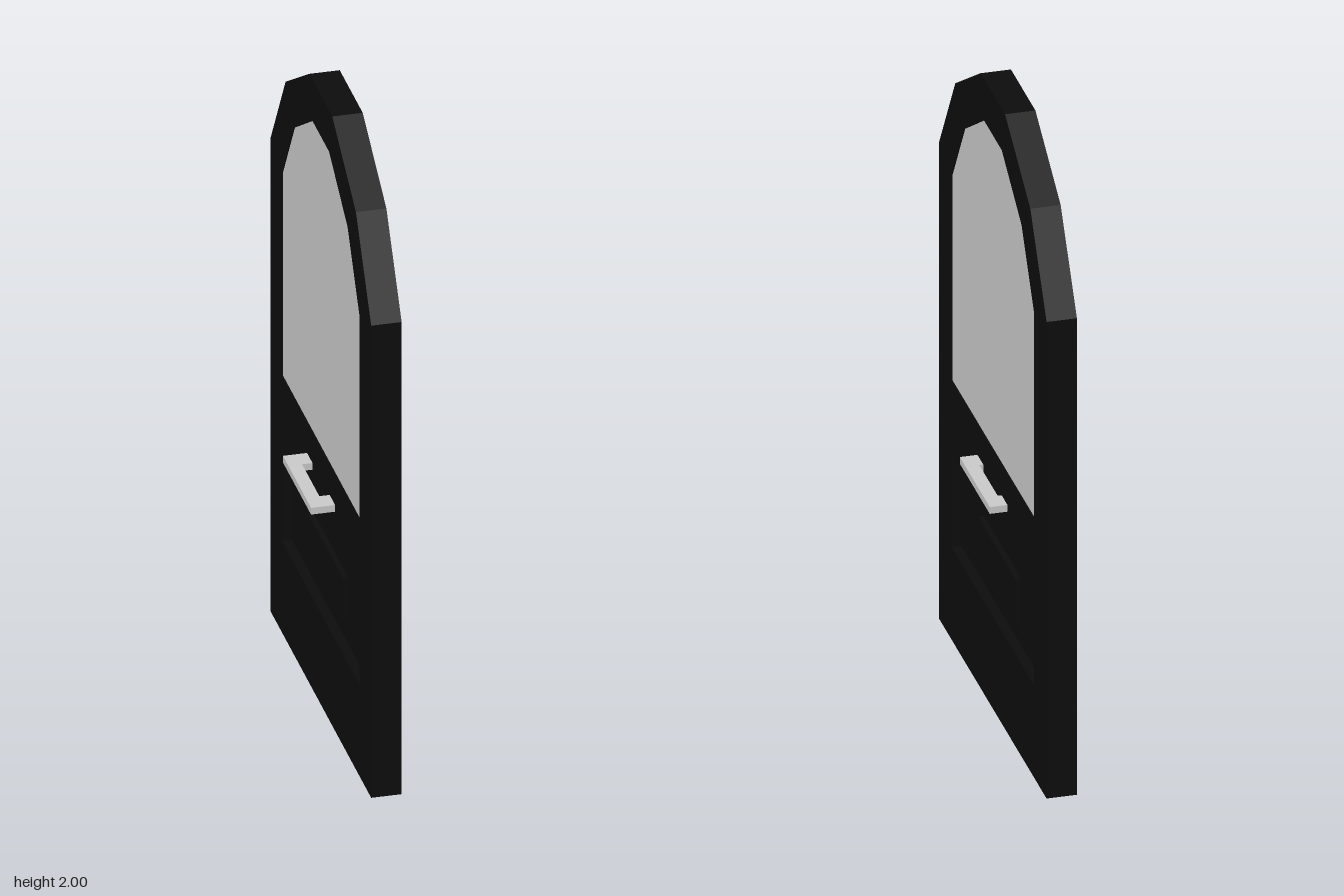
import * as THREE from 'three';

const FRONT = 0.055, BACK = -0.036;            // the two door faces along x
const THICK = FRONT - BACK, MID = (FRONT + BACK) / 2;

// Closed outline from its right half, mirrored left to right
function mirrored(Type, half) {
  const left = half.map(([u, y]) => [-u, y]).reverse();
  return new Type([...half, ...left].map(([u, y]) => new THREE.Vector2(u, y)));
}

export function createModel() {
  const group = new THREE.Group();
  const black = new THREE.MeshStandardMaterial({ color: 0x0d0d0d, flatShading: true });
  const grey = new THREE.MeshStandardMaterial({ color: 0xcccccc, flatShading: true });

  const add = (name, geometry, material) => {
    const mesh = new THREE.Mesh(geometry, material);
    mesh.name = name;
    group.add(mesh);
    return mesh;
  };

  // Slab of a z-y outline, centred in the door thickness
  const slab = (name, shape, depth, material) => {
    const g = new THREE.ExtrudeGeometry(shape, { depth, bevelEnabled: false });
    g.translate(0, 0, -depth / 2).rotateY(-Math.PI / 2).translate(MID, 0, 0);
    return add(name, g, material);
  };

  const windowHalf = [[0.455, 0.843], [0.455, 1.51], [0.315, 1.73], [0.098, 1.865]];
  const recessHalf = [[0.455, 0.3], [0.455, 0.6]];

  // Arched door leaf with window and panel openings
  const leaf = mirrored(THREE.Shape, [[0.592, 0], [0.592, 1.55], [0.413, 1.83], [0.135, 2]]);
  leaf.holes.push(mirrored(THREE.Path, windowHalf), mirrored(THREE.Path, recessHalf));
  slab('doorLeaf', leaf, THICK, black);

  // Window pane, nearly flush with both faces
  slab('windowPane', mirrored(THREE.Shape, windowHalf), THICK - 0.006, grey);

  // Sunken lower panel with a raised centre on both faces
  slab('sunkenPanel', mirrored(THREE.Shape, recessHalf), THICK - 0.06, black);
  slab('raisedPanel', mirrored(THREE.Shape, [[0.205, 0.38], [0.205, 0.52]]), THICK - 0.026, black);

  // Pull handles: a flat rectangular loop through the door
  const rect = (Type, x, z) => mirrored(Type, [[x, -z], [x, z]]);
  const loop = rect(THREE.Shape, 0.108, 0.165);
  loop.holes.push(rect(THREE.Path, 0.067, 0.101));
  const handle = new THREE.ExtrudeGeometry(loop, { depth: 0.022, bevelEnabled: false });
  handle.rotateX(-Math.PI / 2).translate(0, 0.72, 0.004);
  add('pullHandles', handle, grey);

  return group;
}
